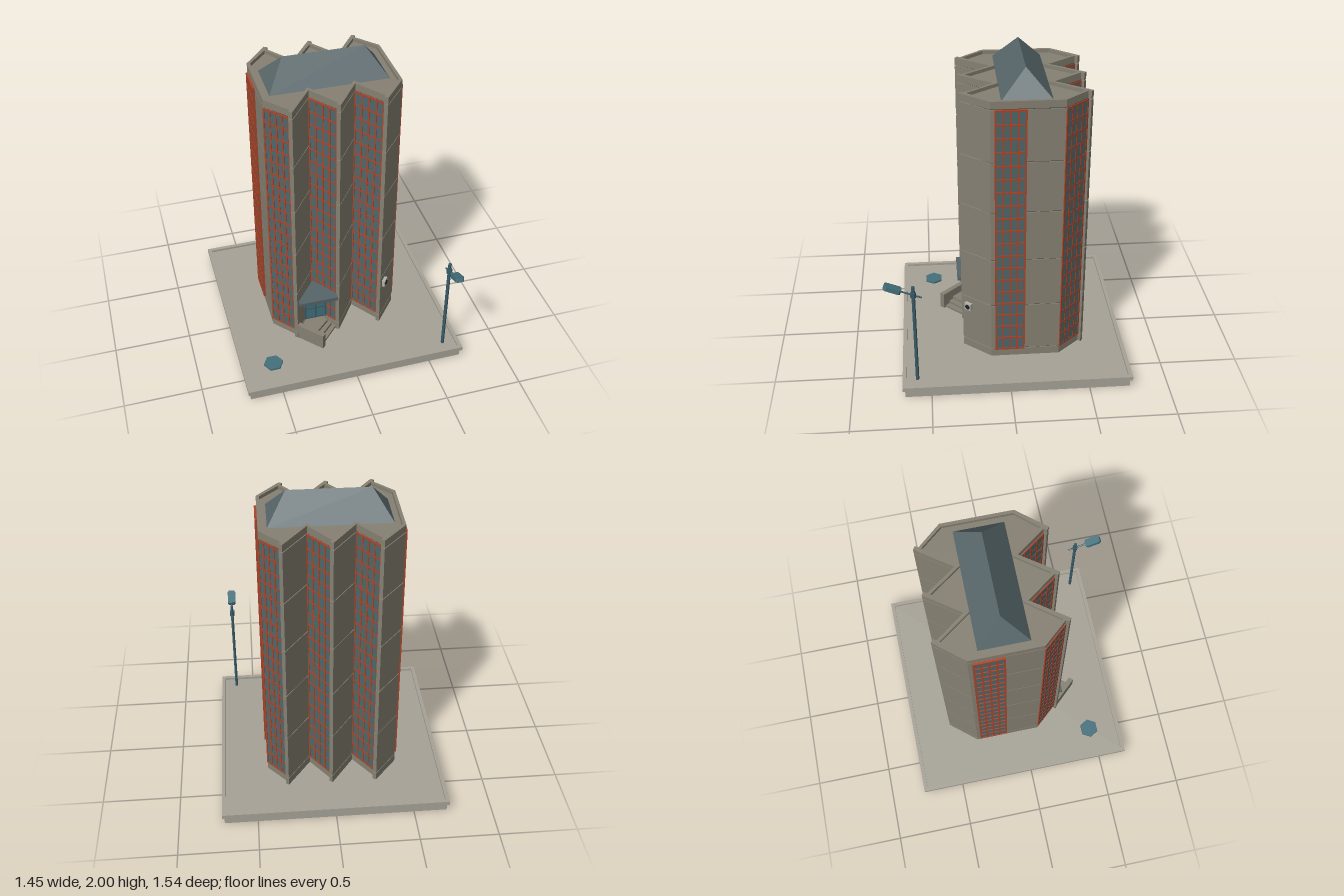
import * as THREE from 'three';
import { mergeGeometries } from 'three/addons/utils/BufferGeometryUtils.js';

const mat = (color) => new THREE.MeshStandardMaterial({ color, flatShading: true });
const M = {
  wall: mat(0x858072), dark: mat(0x45423b), slab: mat(0xa6a297), frame: mat(0xa8452a),
  glass: mat(0x4c686c), roof: mat(0x566568), steel: mat(0x3a5c68), teal: mat(0x44707c),
  white: mat(0xb5b2aa), black: mat(0x1c1f20),
};

function add(parent, name, geometry, material, x = 0, y = 0, z = 0) {
  const m = new THREE.Mesh(geometry, material);
  m.name = name;
  m.position.set(x, y, z);
  parent.add(m);
  return m;
}
const box = (w, h, d, x = 0, y = 0, z = 0) => new THREE.BoxGeometry(w, h, d).translate(x, y, z);

// Vertical prism over a plan of [x, z] points, with an optional hole
function prism(plan, y0, y1, hole) {
  const pts = (p) => p.map(([x, z]) => new THREE.Vector2(x, -z));
  const s = new THREE.Shape(pts(plan));
  if (hole) s.holes.push(new THREE.Path(pts(hole)));
  return new THREE.ExtrudeGeometry(s, { depth: y1 - y0, bevelEnabled: false })
    .rotateX(-Math.PI / 2).translate(0, y0, 0);
}

// Move every edge of a plan inwards by t
function inset(plan, t) {
  const n = plan.length;
  const normal = (a, b) => {
    const dx = b[0] - a[0], dz = b[1] - a[1], l = Math.hypot(dx, dz);
    return [dz / l, -dx / l];
  };
  return plan.map((p, i) => {
    const a = normal(plan[(i + n - 1) % n], p), b = normal(p, plan[(i + 1) % n]);
    const k = t / (1 + a[0] * b[0] + a[1] * b[1]);
    return [p[0] + (a[0] + b[0]) * k, p[1] + (a[1] + b[1]) * k];
  });
}

const turn = ([x, z]) => [-x, -z];
const rect = (x, z0, z1) => [[-x, z1], [x, z1], [x, z0], [-x, z0]];
const BOTTOM = 0.12, TOP = 1.81;

// Group standing on the wall from p to q, its local z pointing outwards
function onWall(p, q) {
  const g = new THREE.Group();
  g.position.set((p[0] + q[0]) / 2, 0, (p[1] + q[1]) / 2);
  g.rotation.y = Math.atan2(p[1] - q[1], q[0] - p[0]);
  return g;
}

// Full-height window strip: glass with a grid of bars
function windowStrip(p, q, depth) {
  const g = onWall(p, q), w = Math.hypot(q[0] - p[0], q[1] - p[1]);
  const h = TOP - BOTTOM, mid = (TOP + BOTTOM) / 2, rows = 19, cols = 4, bar = 0.011;
  g.name = 'windowStrip';
  add(g, 'glass', box(w - 0.004, h - 0.004, depth * 0.6), M.glass, 0, mid, depth * 0.3);
  const bars = [];
  for (let i = 0; i <= cols; i++)
    bars.push(box(bar, h, depth, -w / 2 + bar / 2 + (w - bar) * i / cols, mid, depth / 2));
  for (let i = 0; i <= rows; i++)
    bars.push(box(w, bar, depth, 0, BOTTOM + bar / 2 + (h - bar) * i / rows, depth / 2));
  add(g, 'windowBars', mergeGeometries(bars), M.frame);
  return g;
}

function createTower() {
  const tower = new THREE.Group();
  tower.name = 'tower';
  tower.position.set(-0.005, 0, -0.115);

  // Zigzag front half; the back half is the same turned by 180 degrees
  const starts = [[-0.425, 0.22], [-0.143, 0.185], [0.143, 0.185]];
  const tips = [[-0.295, 0.395], [-0.008, 0.395], [0.278, 0.395]];
  const corner = [0.425, 0.22];
  const half = [], plain = [], ends = [];
  tips.forEach((t, i) => {
    const out = [t[0] - 0.020, t[1] - 0.015];
    const end = [out[0] + 0.013, out[1] - 0.018];
    ends.push(end);
    half.push(starts[i], end, out, t);
    plain.push(starts[i], [t[0] + 0.004, t[1] - 0.015]);
  });
  half.push(corner);
  plain.push(corner);
  const outline = [...half, ...half.map(turn)];
  const core = [...plain, ...plain.map(turn)];

  // Concrete storeys separated by dark grooves
  add(tower, 'grooveCore', prism(inset(core, 0.006), 0.06, 1.83), M.dark);
  const step = (TOP - BOTTOM) / 5, gap = 0.003;
  add(tower, 'plinth', prism(outline, 0.06, BOTTOM - gap), M.wall);
  for (let i = 0; i < 5; i++)
    add(tower, 'wallPanels', prism(outline, BOTTOM + step * i + gap, BOTTOM + step * (i + 1) - gap), M.wall);
  add(tower, 'roofDeck', prism(inset(core, 0.01), 1.83, 1.838), M.wall);
  add(tower, 'parapet', prism(outline, TOP + gap, 1.86, inset(core, 0.02)), M.wall);

  // Windows on the zigzag and the end walls
  for (let k = 0; k < 2; k++) {
    const side = new THREE.Group();
    side.name = k ? 'backWindows' : 'frontWindows';
    side.rotation.y = Math.PI * k;
    starts.forEach((s, i) => side.add(windowStrip(s, ends[i], 0.007)));
    side.add(windowStrip([0.425, 0.195], [0.425, 0.005], 0.014));
    tower.add(side);
  }

  // Hipped roof
  const [a, b, c, d] = [[-0.373, 0.155], [0.373, 0.155], [0.373, -0.155], [-0.373, -0.155]]
    .map(([x, z]) => [x, 1.835, z]);
  const e = [-0.255, 2, 0], f = [0.255, 2, 0];
  const tris = [a, b, f, a, f, e, c, d, e, c, e, f, b, c, f, d, a, e, a, d, c, a, c, b];
  const hip = new THREE.BufferGeometry();
  hip.setAttribute('position', new THREE.Float32BufferAttribute(tris.flat(), 3));
  hip.computeVertexNormals();
  add(tower, 'hippedRoof', hip, M.roof);

  // Fan unit on the front wall
  const fan = onWall(tips[2], corner);
  fan.name = 'fanUnit';
  add(fan, 'fanCase', box(0.05, 0.05, 0.022), M.white, -0.062, 0.39, 0.009);
  add(fan, 'fanGrille', new THREE.CylinderGeometry(0.017, 0.017, 0.004, 16).rotateX(Math.PI / 2),
    M.black, -0.062, 0.39, 0.021);
  tower.add(fan);
  return tower;
}

function createEntrance() {
  const g = new THREE.Group();
  g.name = 'entrance';
  // Landing and steps going down towards the front left
  const level = (s) => [[-0.15, 0.08], [-0.29, 0.275], [-0.17 - s, 0.405 - s], [-0.03 - s, 0.255 - s * 0.6]];
  [0.08, 0.1, 0.12].forEach((y, i) => add(g, 'step', prism(level(i * 0.025), 0.06, y), M.wall));
  add(g, 'stepWall', prism([[-0.302, 0.275], [-0.165, 0.425], [-0.142, 0.4], [-0.279, 0.252]], 0.06, 0.175), M.wall);
  // Canopy filling the recess
  add(g, 'canopy', prism([[-0.15, 0.1], [-0.29, 0.275], [-0.29, 0.305], [-0.03, 0.305], [-0.03, 0.26]], 0.362, 0.388), M.roof);
  // Glazed double door
  const door = new THREE.Group();
  door.name = 'door';
  door.position.set(-0.15, 0.12, 0.175);
  add(door, 'doorGlass', box(0.15, 0.242, 0.006, 0, 0.121, 0), M.teal);
  const bars = [-0.07, 0, 0.07].map((x) => box(0.01, 0.242, 0.014, x, 0.121, 0));
  for (const y of [0.005, 0.09, 0.17, 0.237]) bars.push(box(0.15, 0.008, 0.014, 0, y, 0));
  add(door, 'doorFrame', mergeGeometries(bars), M.steel);
  g.add(door);
  return g;
}

function createLamp() {
  const g = new THREE.Group();
  g.name = 'streetLamp';
  g.position.set(0.62, 0, 0.588);
  const cyl = (r, h) => new THREE.CylinderGeometry(r, r, h, 6);
  add(g, 'pole', cyl(0.011, 0.705), M.steel, 0, 0.4125, 0);
  add(g, 'collar', cyl(0.018, 0.035), M.steel, 0, 0.705, 0);
  const arm = new THREE.Group();
  arm.name = 'lampArm';
  arm.position.y = 0.705;
  arm.rotation.x = -0.39;
  add(arm, 'armRod', cyl(0.006, 0.17).rotateX(Math.PI / 2), M.steel, 0, 0, 0.03);
  // Lamp head with chamfered corners
  const head = [[-0.018, 0.08], [-0.027, 0.09], [-0.027, 0.175], [-0.018, 0.188],
    [0.018, 0.188], [0.027, 0.175], [0.027, 0.09], [0.018, 0.08]];
  add(arm, 'lampHead', prism(head, -0.012, 0.016), M.teal);
  add(arm, 'lampLens', box(0.038, 0.006, 0.08), M.black, 0, -0.013, 0.134);
  g.add(arm);
  return g;
}

export function createModel() {
  const model = new THREE.Group();
  model.name = 'towerBlock';
  // Ground slab with a raised rim
  add(model, 'groundSlab', prism(rect(0.712, -0.757, 0.667), 0, 0.064), M.slab);
  add(model, 'groundRim', prism(rect(0.727, -0.772, 0.682), 0.053, 0.08, rect(0.702, -0.747, 0.657)), M.slab);
  // Hexagonal basin
  add(model, 'hexagonalBasin', new THREE.CylinderGeometry(0.064, 0.064, 0.02, 6).rotateY(Math.PI / 2),
    M.teal, -0.515, 0.068, 0.467).rotation.y = Math.PI / 3;
  model.add(createTower(), createEntrance(), createLamp());
  return model;
}
